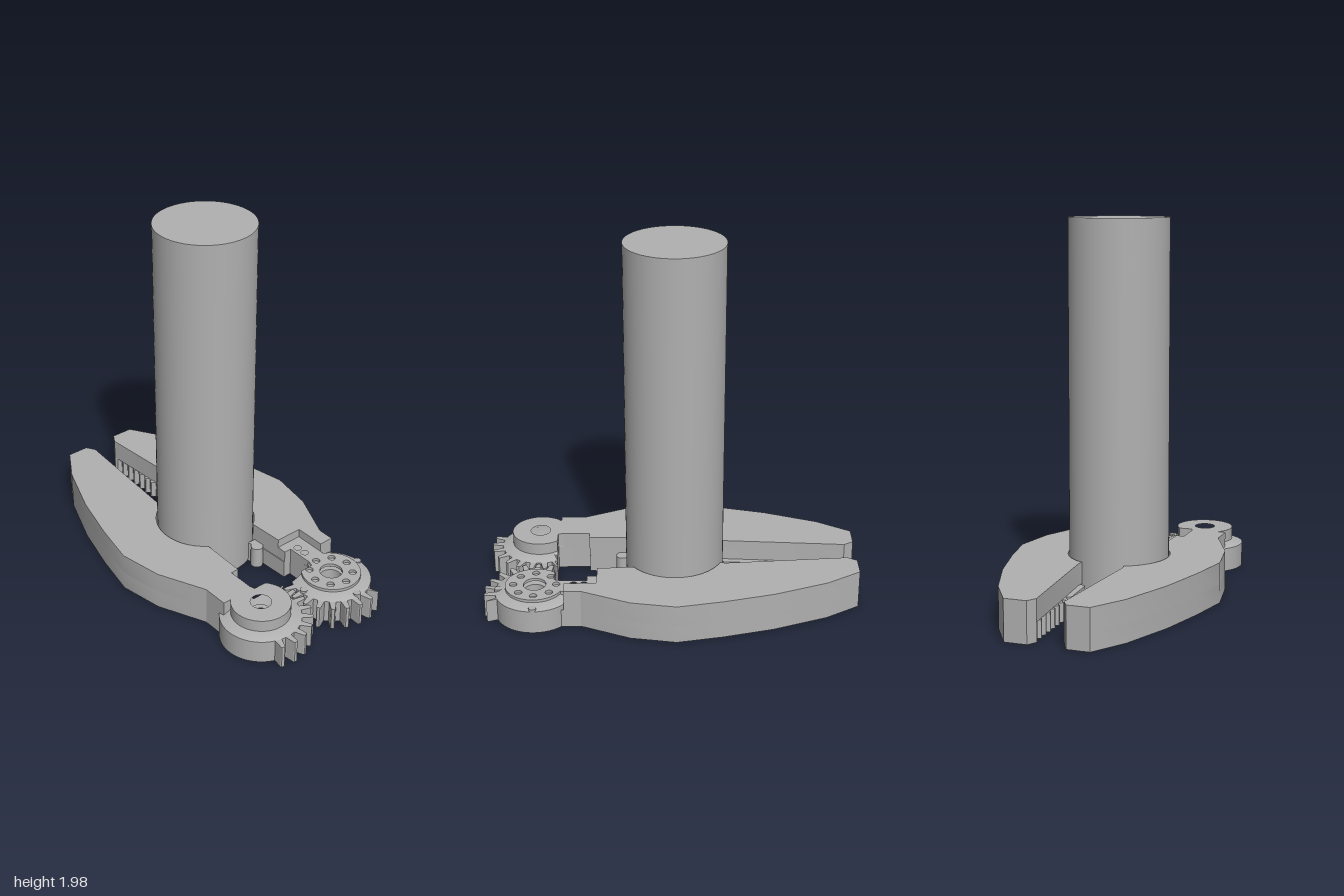
import * as THREE from 'three';
import { toCreasedNormals } from 'three/addons/utils/BufferGeometryUtils.js';

const GX = 0.247, GZ = 0.73;      // gear centre
const CZ = -0.015, R = 0.263;     // gripped cylinder
const TOP = 0.215, NOTCH = 0.1;   // jaw height, height of the V notch

// Upright plate from an outline of [x, z] points, with round holes [x, z, r]
function plate(points, y0, y1, holes = []) {
  const shape = new THREE.Shape(points.map(([x, z]) => new THREE.Vector2(x, -z)));
  for (const [x, z, r] of holes) {
    const hole = new THREE.Path();
    hole.absarc(x, -z, r, 0, Math.PI * 2, true);
    shape.holes.push(hole);
  }
  const geo = new THREE.ExtrudeGeometry(shape, { depth: y1 - y0, bevelEnabled: false, curveSegments: 10 });
  return geo.rotateX(-Math.PI / 2).translate(0, y0, 0);
}

// Flat cut on the gear side that faces the gap between the arms
const clip = ([u, z]) => [u, u > 0.037 && z < -0.1 ? -0.1 : z];

function circle(r, n = 64) {
  return Array.from({ length: n }, (_, i) => {
    const a = (i / n) * Math.PI * 2;
    return clip([r * Math.cos(a), r * Math.sin(a)]);
  });
}

// Gear outline; u points toward the other gear, teeth cover the inner and front part
function gearOutline(shift) {
  const pts = [], pitch = Math.PI / 11, n = 440, root = 0.212;
  for (let i = 0; i < n; i++) {
    const a = -Math.PI + (i / n) * Math.PI * 2;
    let r = root;
    if (a > -0.42 && a < 1.98) {
      const p = Math.abs((((a / pitch + shift) % 1) + 1) % 1 - 0.5) * 2; // 0 at tooth centre
      r += 0.058 * THREE.MathUtils.clamp((0.56 - p) / 0.28, 0, 1);
    }
    const q = [r * Math.cos(a), r * Math.sin(a)];
    pts.push(r > root + 0.001 ? q : clip(q));
  }
  return pts;
}

export function createModel() {
  const model = new THREE.Group();
  const grey = new THREE.MeshStandardMaterial({ color: 0xb0b0b0 });
  grey.name = 'plainGrey';
  const add = (parent, name, geo) => {
    const mesh = new THREE.Mesh(toCreasedNormals(geo, 0.4), grey);
    mesh.name = name;
    parent.add(mesh);
    return mesh;
  };

  // Gripped bar
  const bar = new THREE.CylinderGeometry(R, R, 1.97, 64).translate(0, 0.995, CZ);
  add(model, 'grippedCylinder', bar);

  // Outer edge of a jaw from the tip to the arm
  const outer = [[0.1, -1], [0.22, -1], [0.33, -0.82], [0.44, -0.53], [0.51, -0.26],
    [0.557, -0.02], [0.515, 0.22], [0.4, 0.48]];
  // Round seat at the top, V-shaped seat at the bottom
  const seat = [];
  for (let i = 0; i <= 20; i++) {
    const a = THREE.MathUtils.lerp(0.95, -1.13, i / 20);
    seat.push([0.27 * Math.cos(a), CZ + 0.27 * Math.sin(a)]);
  }
  const vSeat = [[0.155, 0.205], [0.375, CZ], [0.12, -0.27]];
  // Gripping teeth along the inner edge
  const teeth = [[0.085, -0.29]];
  for (let i = 0; i < 8; i++) {
    const z = -0.5 - i * 0.055;
    teeth.push([0.075, z], [0.095, z - 0.016], [0.095, z - 0.03], [0.075, z - 0.045]);
  }
  teeth.push([0.07, -0.95]);

  for (const side of [-1, 1]) {
    const jaw = new THREE.Group();
    jaw.name = side < 0 ? 'rightJaw' : 'leftJaw';
    model.add(jaw);
    const m = (pts) => pts.map(([x, z, r]) => [side * x, z, r]);
    const open = side > 0;  // this jaw has the lowered, drilled arm

    // Jaw body in two layers
    const arm = [[0.4, 0.62], [0.21, 0.62], [0.21, 0.455], [0.165, 0.455]];
    const openArm = [[0.4, 0.57], [0.32, 0.57], [0.32, 0.4], [0.168, 0.4]];
    const tip = [[0.12, -0.29], [0.08, -0.82], [0.07, -0.95]];
    add(jaw, 'jawLower', plate(m([...outer, ...arm, ...vSeat, ...teeth]), 0, NOTCH));
    add(jaw, 'jawUpper', plate(m([...outer, ...(open ? openArm : arm), ...seat, ...tip]), NOTCH, TOP));

    // Small stop pin beside the bar
    const pin = new THREE.CylinderGeometry(0.034, 0.034, 0.12, 20);
    add(jaw, 'stopPin', pin.translate(side * 0.13, 0.06, 0.272));
    add(jaw, 'pinWeb', plate(m([[0.11, 0.22], [0.17, 0.22], [0.17, 0.27], [0.13, 0.28]]), 0, 0.12));

    // Toothed gear with a bore, in local coordinates around its centre
    const gear = new THREE.Group();
    gear.name = 'gear';
    gear.position.set(side * GX, 0, GZ);
    jaw.add(gear);
    const f = (pts) => pts.map(([u, z, r]) => [-side * u, z, r]);
    const bore = open ? 0.06 : 0.055;
    add(gear, 'gearTeeth', plate(f(gearOutline(open ? 0.5 : 0)), 0, 0.128, [[0, 0, bore]]));

    // Sloped shoulder
    const cone = new THREE.LatheGeometry([[0.212, 0.128], [0.155, 0.15], [bore, 0.15]]
      .map(([r, y]) => new THREE.Vector2(r, y)), 96);
    const p = cone.attributes.position;
    for (let i = 0; i < p.count; i++) {
      const [u, z] = clip([-side * p.getX(i), p.getZ(i)]);
      p.setXYZ(i, -side * u, p.getY(i), z);
    }
    add(gear, 'gearShoulder', cone);

    if (open) {
      // Lowered hub with a ring of small holes
      const ring = [[0, 0, bore]];
      for (let i = 0; i < 8; i++) {
        const a = (i * Math.PI) / 4;
        ring.push([0.114 * Math.cos(a), 0.114 * Math.sin(a), 0.02]);
      }
      add(gear, 'drilledHub', plate(f(circle(0.157)), 0.15, 0.166, ring));
      // Studs on the shoulder
      for (const [u, z] of [[0.195, 0], [-0.195, 0], [0, 0.195]]) {
        const stud = new THREE.CylinderGeometry(0.02, 0.02, 0.03, 16);
        add(gear, 'shoulderStud', stud.translate(-side * u, 0.127, z));
      }
      // Lowered arm floor with two holes
      const floor = [[0.168, 0.4], [0.32, 0.4], [0.32, 0.59], [0.21, 0.59], [0.21, 0.455], [0.168, 0.455]];
      add(jaw, 'armFloor', plate(floor, NOTCH, 0.15));
      add(jaw, 'drilledArm', plate(floor, 0.15, 0.166, [[GX, 0.47, 0.02], [GX, 0.525, 0.02]]));
    } else {
      // Raised round hub
      add(gear, 'raisedHub', plate(f(circle(0.155)), 0.14, TOP, [[0, 0, bore]]));
    }
  }
  return model;
}
